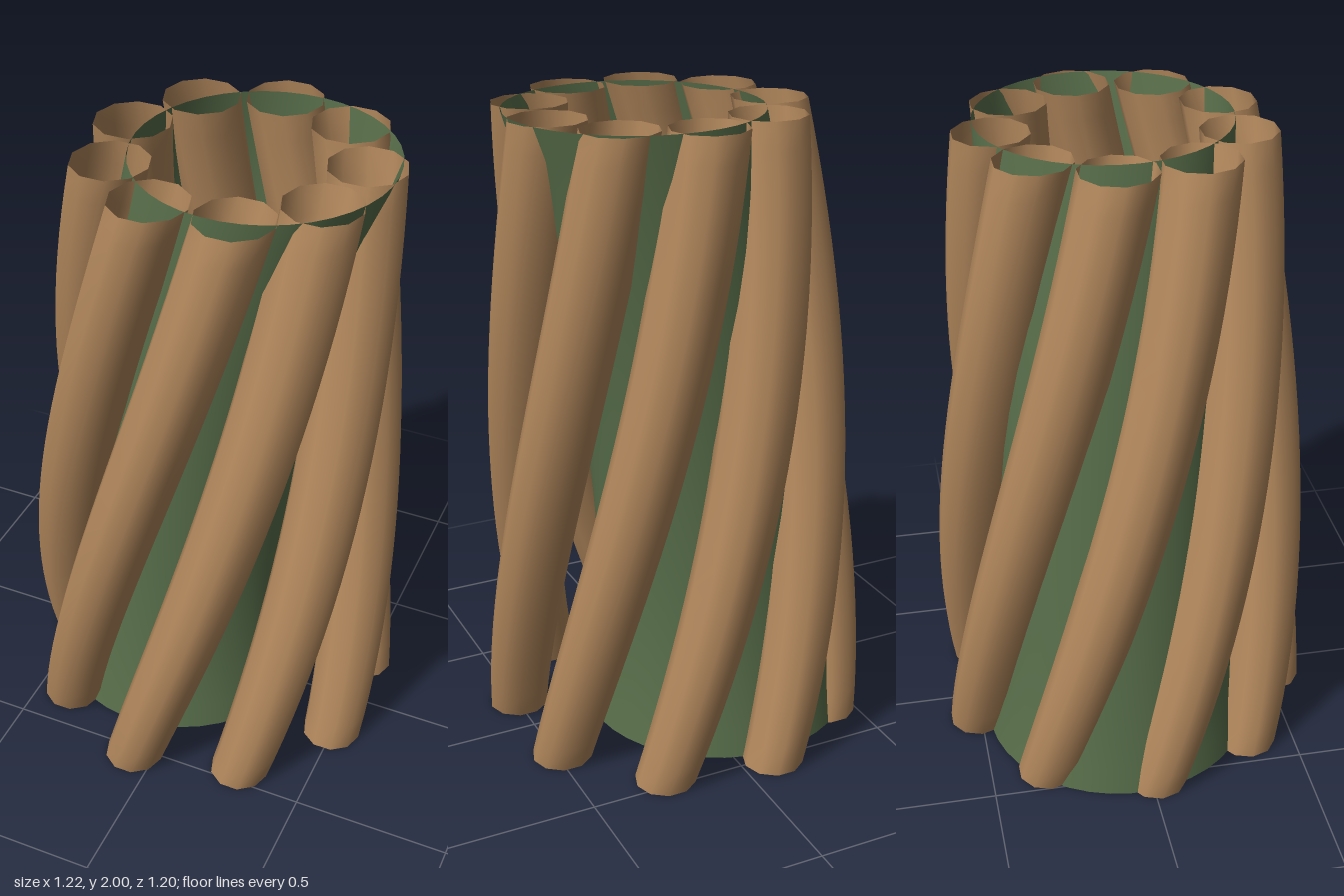
import * as THREE from 'three';
import { mergeVertices } from 'three/addons/utils/BufferGeometryUtils.js';

const HEIGHT = 2;
const STEMS = 9;
const START = THREE.MathUtils.degToRad(-8);
const TWIST = THREE.MathUtils.degToRad(69);

const bark = new THREE.MeshStandardMaterial({ color: 0xb0865b, side: THREE.DoubleSide });
bark.name = 'bark brown';
const moss = new THREE.MeshStandardMaterial({ color: 0x586e4a, side: THREE.DoubleSide });
moss.name = 'moss green';

const lerp = THREE.MathUtils.lerp;

// Open tube of level rings; ring(t) gives the centre and radius at height t (0 to 1).
function sweep(name, material, sides, steps, ring) {
  const geo = new THREE.CylinderGeometry(1, 1, HEIGHT, sides, steps, true, Math.PI / sides);
  const pos = geo.attributes.position;
  for (let i = 0; i < pos.count; i++) {
    const y = pos.getY(i) + HEIGHT / 2;
    const { x, z, r } = ring(y / HEIGHT);
    pos.setXYZ(i, x + r * pos.getX(i), y, z + r * pos.getZ(i));
  }
  geo.deleteAttribute('uv');
  geo.deleteAttribute('normal');
  const smooth = mergeVertices(geo, 1e-5);
  smooth.computeVertexNormals();
  const mesh = new THREE.Mesh(smooth, material);
  mesh.name = name;
  return mesh;
}

export function createModel() {
  const model = new THREE.Group();
  model.name = 'twistedTrunk';

  // Hollow core: flared foot, narrow waist, bending sideways towards the top
  model.add(sweep('core', moss, 40, 24, (t) => ({
    x: lerp(-0.14, 0.135, t * t),
    z: lerp(-0.04, -0.025, t * t),
    r: 0.35 + 0.082 * (1 - t) ** 5 + 0.036 * t * t,
  })));

  // Hollow stems winding around the core, thickening and drawing in towards the top
  const stems = new THREE.Group();
  stems.name = 'stems';
  for (let i = 0; i < STEMS; i++) {
    const base = START + (i / STEMS) * Math.PI * 2;
    stems.add(sweep(`stem${i + 1}`, bark, 10, 24, (t) => {
      const angle = base + TWIST * t;
      const orbit = lerp(0.518, 0.361, t ** 1.3);
      return {
        x: 0.067 * t * t + orbit * Math.sin(angle),
        z: -0.004 * t * t + orbit * Math.cos(angle),
        r: lerp(0.095, 0.117, 1 - (1 - t) ** 3),
      };
    }));
  }
  model.add(stems);
  return model;
}
